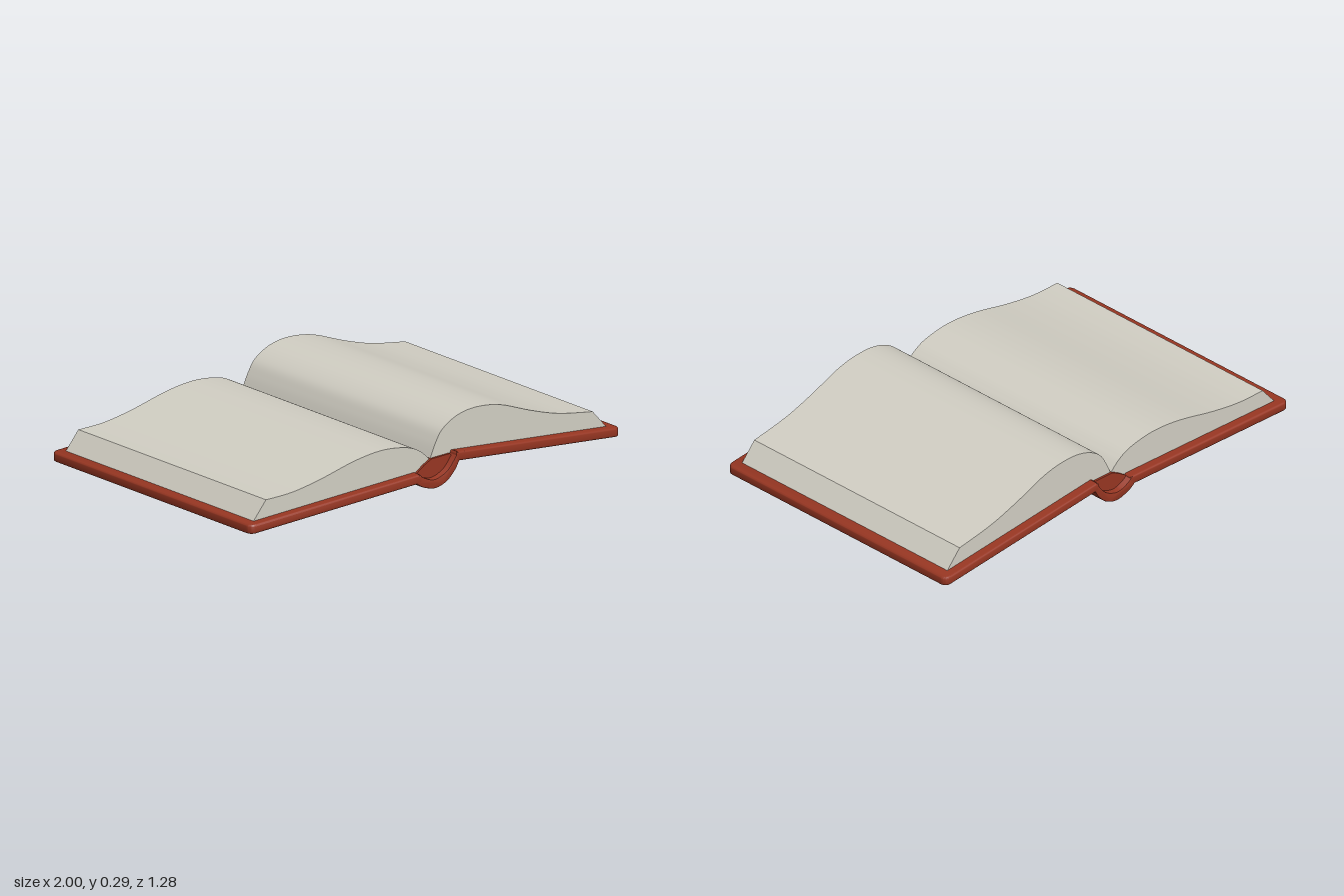
import * as THREE from 'three';
import { toCreasedNormals } from 'three/addons/utils/BufferGeometryUtils.js';

const leather = new THREE.MeshStandardMaterial({ color: 0x973622 });
leather.name = 'red leather';
const paper = new THREE.MeshStandardMaterial({ color: 0xd2cfc4 });
paper.name = 'paper';

const vec = (pts) => pts.map(([x, y]) => new THREE.Vector2(x, y));
const smooth = (pts, n) => new THREE.SplineCurve(vec(pts)).getPoints(n);

// Front profile drawn out along z, centred, with optional small bevel
function slab(name, points, halfDepth, material, bevel = 0) {
  const geo = new THREE.ExtrudeGeometry(new THREE.Shape(points), {
    depth: 2 * (halfDepth - bevel), bevelEnabled: bevel > 0,
    bevelSize: bevel, bevelThickness: bevel, bevelOffset: -bevel, bevelSegments: 2,
  });
  geo.translate(0, 0, -(halfDepth - bevel));
  const mesh = new THREE.Mesh(toCreasedNormals(geo, 0.6), material);
  mesh.name = name;
  return mesh;
}

// Cover board with rounded outer corners, sloping from the edge up to the spine
function board(name, side, inner, edgeY, rise) {
  const d = 0.64, r = 0.03, b = 0.008, t = 0.04;
  const s = new THREE.Shape();
  s.moveTo(inner, -d);
  s.lineTo(1 - r, -d);
  s.absarc(1 - r, -d + r, r, -Math.PI / 2, 0, false);
  s.lineTo(1, d - r);
  s.absarc(1 - r, d - r, r, 0, Math.PI / 2, false);
  s.lineTo(inner, d);
  s.closePath();
  const geo = new THREE.ExtrudeGeometry(s, {
    depth: t - 2 * b, bevelSize: b, bevelThickness: b, bevelOffset: -b,
    bevelSegments: 3, curveSegments: 6,
  });
  geo.rotateX(-Math.PI / 2);
  if (side < 0) geo.rotateY(Math.PI);
  const p = geo.attributes.position;
  for (let i = 0; i < p.count; i++) {
    p.setY(i, p.getY(i) + b + edgeY + rise * (1 - Math.abs(p.getX(i))));
  }
  const mesh = new THREE.Mesh(toCreasedNormals(geo, 0.6), leather);
  mesh.name = name;
  return mesh;
}

export function createModel() {
  const book = new THREE.Group();
  book.name = 'openBook';

  // Covers
  book.add(board('leftCover', 1, 0.11, 0.01, 0.094));
  book.add(board('rightCover', -1, 0.08, 0.01, 0.03));

  // Curved spine shell
  const outer = smooth([[-0.1, 0.038], [-0.065, 0.016], [0, 0], [0.06, 0.018], [0.105, 0.058], [0.13, 0.1]], 24);
  const inner = smooth([[0.118, 0.134], [0.1, 0.105], [0.06, 0.062], [0, 0.04], [-0.05, 0.052], [-0.09, 0.077]], 24);
  book.add(slab('spine', [...outer, ...inner], 0.64, leather, 0.004));

  // Binding that fills the hollow of the spine
  book.add(slab('binding', vec([[-0.085, 0.07], [-0.05, 0.045], [0, 0.03], [0.06, 0.05],
    [0.11, 0.11], [0.1, 0.122], [0, 0.12], [-0.04, 0.1]]), 0.61, leather));

  // Page blocks, curling down into the gutter
  const leftTop = smooth([[0.88, 0.134], [0.7, 0.165], [0.55, 0.21], [0.38, 0.272], [0.25, 0.29],
    [0.15, 0.277], [0.07, 0.235], [0.03, 0.18], [0, 0.115]], 48);
  book.add(slab('leftPages', [...vec([[0, 0.112], [0.12, 0.122], [0.96, 0.045]]), ...leftTop], 0.6, paper));
  const rightTop = smooth([[0, 0.115], [-0.05, 0.16], [-0.12, 0.192], [-0.25, 0.21], [-0.4, 0.197],
    [-0.6, 0.154], [-0.75, 0.132], [-0.885, 0.13]], 48);
  book.add(slab('rightPages', [...rightTop, ...vec([[-0.958, 0.045], [-0.08, 0.07], [0, 0.112]])], 0.6, paper));

  return book;
}
